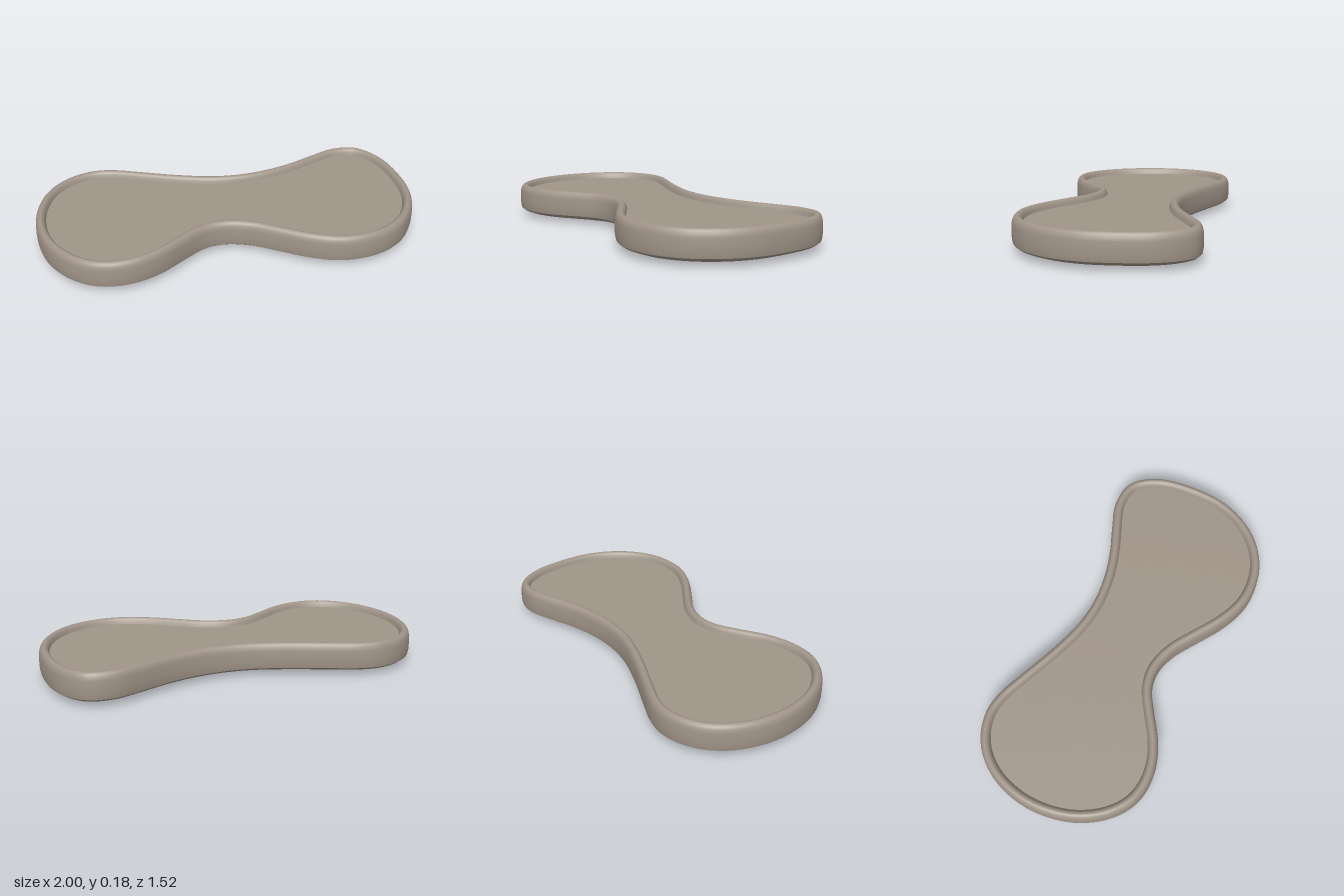
import * as THREE from 'three';

const N = 160;

// Outline of the tray in plan, as x, z
const outline = [
  [0.6, -0.762], [0.7, -0.735], [0.8, -0.66], [0.9, -0.52], [0.975, -0.36], [1, -0.2],
  [0.972, -0.03], [0.89, 0.11], [0.77, 0.205], [0.65, 0.25], [0.5, 0.26], [0.33, 0.243],
  [0.18, 0.23], [0.05, 0.255], [-0.04, 0.32], [-0.11, 0.43], [-0.19, 0.57], [-0.28, 0.67],
  [-0.39, 0.737], [-0.51, 0.76], [-0.65, 0.73], [-0.79, 0.645], [-0.9, 0.52], [-0.97, 0.38],
  [-1, 0.22], [-0.98, 0.08], [-0.92, -0.03], [-0.83, -0.11], [-0.72, -0.15], [-0.57, -0.167],
  [-0.35, -0.187], [-0.15, -0.222], [0, -0.28], [0.14, -0.37], [0.26, -0.48], [0.36, -0.595],
  [0.47, -0.71],
];

// Centre line that the underside and floor close onto
const spine = new THREE.CatmullRomCurve3([
  new THREE.Vector3(-0.58, 0, 0.33), new THREE.Vector3(-0.25, 0, 0.14),
  new THREE.Vector3(0.05, 0, -0.02), new THREE.Vector3(0.62, 0, -0.26),
]).getPoints(80);

function nearestOnSpine(p) {
  return spine.reduce((a, b) => (b.distanceToSquared(p) < a.distanceToSquared(p) ? b : a));
}

function createPlan() {
  const curve = new THREE.CatmullRomCurve3(outline.map(([x, z]) => new THREE.Vector3(x, 0, z)), true);
  const points = curve.getSpacedPoints(N).slice(0, N);
  return points.map((p, i) => {
    const t = points[(i + 1) % N].clone().sub(points[(i + N - 1) % N]).normalize();
    return { p, inward: new THREE.Vector3(-t.z, 0, t.x) };
  });
}

// Each ring is [inset from the outline, height, pull towards the centre line]
function loft(plan, rings) {
  const positions = [];
  const index = [];
  for (const [inset, y, pull = 0] of rings) {
    for (const { p, inward } of plan) {
      const q = p.clone().addScaledVector(inward, inset);
      if (pull) q.lerp(nearestOnSpine(q), pull);
      positions.push(q.x, y, q.z);
    }
  }
  for (let j = 0; j < rings.length - 1; j++) {
    for (let i = 0; i < N; i++) {
      const k = (i + 1) % N;
      const a = j * N + i, b = j * N + k, c = a + N, d = b + N;
      index.push(a, c, b, b, c, d);
    }
  }
  const geometry = new THREE.BufferGeometry();
  geometry.setAttribute('position', new THREE.Float32BufferAttribute(positions, 3));
  geometry.setIndex(index);
  geometry.computeVertexNormals();
  return geometry;
}

export function createModel() {
  const group = new THREE.Group();
  group.name = 'curvedTray';
  const clay = new THREE.MeshStandardMaterial({ color: 0xa09488, side: THREE.DoubleSide });
  clay.name = 'warm grey clay';
  const plan = createPlan();

  const parts = {
    // Shallow domed base
    underside: [
      [0.05, 0, 1], [0.05, 0.004, 0.6], [0.05, 0.009, 0.3], [0.05, 0.016, 0.08],
      [0.05, 0.02], [0.022, 0.03], [0.005, 0.043],
    ],
    // Outer wall rolling over the rounded lip to the inside
    rim: [
      [0.005, 0.043], [0.001, 0.065], [0, 0.1], [0.002, 0.14], [0.006, 0.158], [0.013, 0.171],
      [0.022, 0.178], [0.03, 0.18], [0.038, 0.178], [0.046, 0.172], [0.052, 0.162], [0.057, 0.145],
    ],
    // Flat recessed floor
    floor: [[0.057, 0.145], [0.057, 0.145, 0.5], [0.057, 0.145, 1]],
  };
  for (const [name, rings] of Object.entries(parts)) {
    const mesh = new THREE.Mesh(loft(plan, rings), clay);
    mesh.name = name;
    group.add(mesh);
  }
  return group;
}
